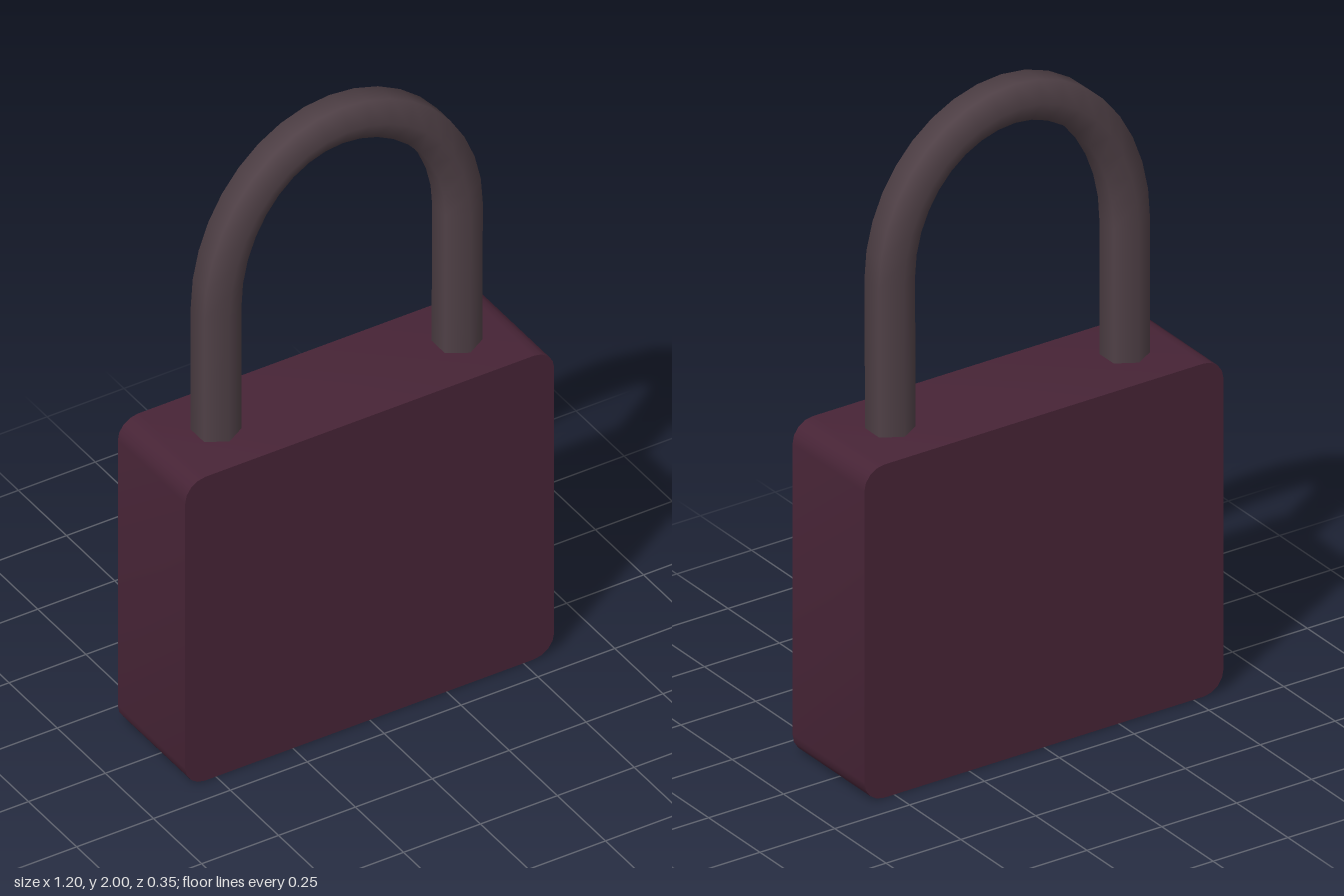
import * as THREE from 'three';
import { toCreasedNormals } from 'three/addons/utils/BufferGeometryUtils.js';

// Path that visits its points at equal steps, so tube rings land on them
class PointPath extends THREE.Curve {
  constructor(points) {
    super();
    this.points = points;
  }
  getPoint(t, target = new THREE.Vector3()) {
    const last = this.points.length - 1;
    const f = t * last;
    const i = Math.min(Math.floor(f), last - 1);
    return target.lerpVectors(this.points[i], this.points[i + 1], f - i);
  }
  getPointAt(u, target) { return this.getPoint(u, target); }
  getTangentAt(u, target) { return this.getTangent(u, target); }
}

// Block with rounded corners in the front outline and sharp front and back edges
function createBody() {
  const w = 0.6, h = 1.035, r = 0.066, depth = 0.35;
  const s = new THREE.Shape();
  s.moveTo(-w + r, 0);
  s.lineTo(w - r, 0);
  s.absarc(w - r, r, r, -Math.PI / 2, 0);
  s.absarc(w - r, h - r, r, 0, Math.PI / 2);
  s.absarc(-w + r, h - r, r, Math.PI / 2, Math.PI);
  s.absarc(-w + r, r, r, Math.PI, Math.PI * 1.5);
  const geometry = new THREE.ExtrudeGeometry(s, { depth, bevelEnabled: false, curveSegments: 2 });
  geometry.translate(0, 0, -depth / 2);
  const mesh = new THREE.Mesh(
    toCreasedNormals(geometry, 1.0),
    new THREE.MeshStandardMaterial({ color: 0x472436 })
  );
  mesh.name = 'body';
  return mesh;
}

// Six-sided bar bent into a tall arch, with both ends sunk into the body
function createShackle() {
  const top = 1.94, foot = 0.98, steps = 18;
  const points = [new THREE.Vector3(-0.39, foot, 0)];
  for (let i = 0; i <= steps; i++) {
    const a = Math.PI * (1 - i / steps);
    const left = i < steps / 2;
    const spring = left ? 1.45 : 1.5;
    const rx = left ? 0.39 : 0.395;
    points.push(new THREE.Vector3(rx * Math.cos(a), spring + (top - spring) * Math.sin(a), 0));
  }
  points.push(new THREE.Vector3(0.393, foot, 0));
  const mesh = new THREE.Mesh(
    new THREE.TubeGeometry(new PointPath(points), points.length - 1, 0.07, 6, false),
    new THREE.MeshStandardMaterial({ color: 0x4f4046 })
  );
  mesh.name = 'shackle';
  return mesh;
}

export function createModel() {
  const group = new THREE.Group();
  group.name = 'padlock';
  group.add(createBody(), createShackle());
  return group;
}
